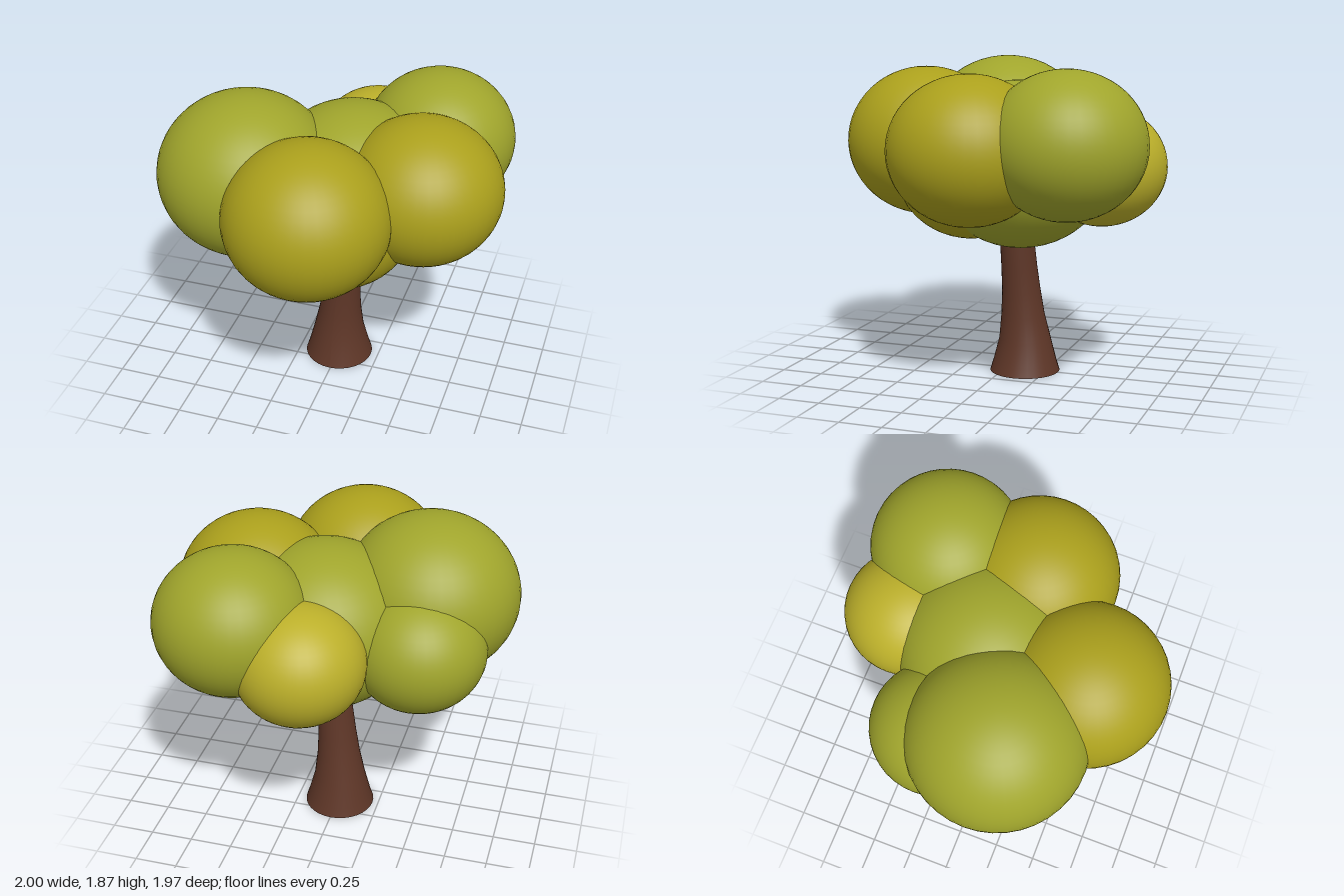
import * as THREE from 'three';

const mat = (color) => new THREE.MeshStandardMaterial({ color, roughness: 0.9 });

// Flared, gently leaning trunk: rings of [y, centre x, centre z, radius]
const TRUNK = [
  [0, -0.005, -0.12, 0.21], [0.06, -0.005, -0.12, 0.191], [0.2, -0.006, -0.12, 0.155],
  [0.35, 0.004, -0.11, 0.13], [0.5, 0.015, -0.103, 0.115], [0.65, 0.029, -0.094, 0.107],
  [0.78, 0.043, -0.088, 0.103], [0.95, 0.06, -0.08, 0.095],
];

function trunkGeometry() {
  const rows = TRUNK.length - 1;
  const geo = new THREE.CylinderGeometry(1, 1, 1, 32, rows);
  const pos = geo.attributes.position;
  for (let i = 0; i < pos.count; i++) {
    const row = Math.round((pos.getY(i) + 0.5) * rows);
    const [y, cx, cz, r] = TRUNK[row];
    pos.setXYZ(i, cx + pos.getX(i) * r, y, cz + pos.getZ(i) * r);
  }
  geo.computeVertexNormals();
  return geo;
}

export function createModel() {
  const tree = new THREE.Group();
  tree.name = 'tree';
  const add = (name, geo, material) => {
    const mesh = new THREE.Mesh(geo, material);
    mesh.name = name;
    tree.add(mesh);
    return mesh;
  };

  const bark = mat(0x5e3627);
  add('trunk', trunkGeometry(), bark);

  // Short branch running up into the foliage
  const branch = new THREE.LineCurve3(
    new THREE.Vector3(0.02, 0.75, -0.09), new THREE.Vector3(-0.3, 1.05, 0.02));
  add('branch', new THREE.TubeGeometry(branch, 4, 0.04, 12), bark);

  // Slightly flattened leaf clumps: name, centre, radius, half height, colour
  const green = mat(0xa0a52c), gold = mat(0xaba01c), paleGold = mat(0xbcb02a);
  const clumps = [
    ['centreClump', [0.08, 1.265, -0.12], 0.53, 0.49, green],
    ['rightClump', [-0.48, 1.39, 0.155], 0.52, 0.48, green],
    ['frontClump', [0, 1.375, 0.505], 0.475, 0.445, gold],
    ['leftClump', [0.53, 1.385, 0.03], 0.465, 0.425, gold],
    ['backLeftClump', [0.495, 1.43, -0.52], 0.45, 0.415, green],
    ['backClump', [0.09, 1.275, -0.61], 0.375, 0.345, paleGold],
    ['backRightClump', [-0.49, 1.22, -0.2], 0.39, 0.36, green],
    ['lowerFrontClump', [0.08, 1.23, 0.19], 0.45, 0.42, gold],
  ];
  const ball = new THREE.SphereGeometry(1, 40, 28);
  for (const [name, centre, r, h, material] of clumps) {
    const clump = add(name, ball, material);
    clump.position.set(...centre);
    clump.scale.set(r, h, r);
  }
  return tree;
}
